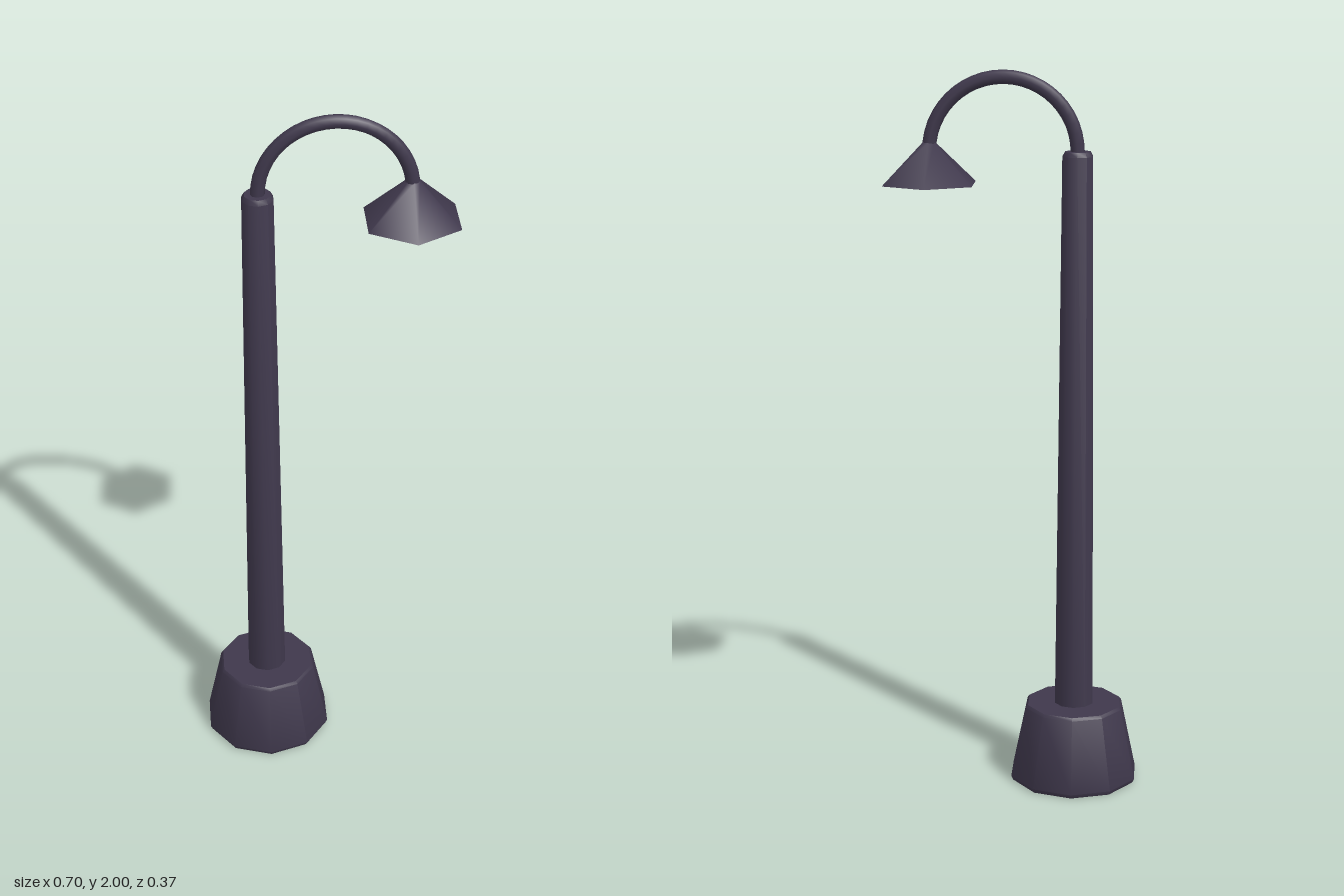
import * as THREE from 'three';
import { toCreasedNormals } from 'three/addons/utils/BufferGeometryUtils.js';

const POLE_X = -0.173;
const LAMP_X = 0.227;

// Ten-sided turned part: smooth around, sharp at the rims
function turned(name, profile, material) {
  const points = profile.map(([r, y]) => new THREE.Vector2(r, y));
  const geometry = toCreasedNormals(new THREE.LatheGeometry(points, 10), 0.7);
  const mesh = new THREE.Mesh(geometry, material);
  mesh.name = name;
  mesh.position.x = POLE_X;
  return mesh;
}

export function createModel() {
  const group = new THREE.Group();
  group.name = 'streetLamp';
  const metal = new THREE.MeshStandardMaterial({ color: 0x3f384c });
  metal.name = 'darkMetal';

  // Tapered foot with slightly bevelled rims
  group.add(turned('base', [
    [0, 0], [0.178, 0], [0.184, 0.012], [0.141, 0.214], [0.135, 0.222], [0, 0.222],
  ], metal));

  // Long tapered pole
  group.add(turned('pole', [
    [0, 0.2], [0.056, 0.2], [0.043, 1.77], [0.036, 1.783], [0, 1.783],
  ], metal));

  // Half-circle arm from the pole top over to the shade
  const radius = (LAMP_X - POLE_X) / 2;
  const path = [];
  for (let i = 0; i <= 16; i++) {
    const a = Math.PI * (1 - i / 16);
    path.push(new THREE.Vector3(
      POLE_X + radius + radius * Math.cos(a), 1.78 + radius * Math.sin(a), 0));
  }
  const arm = new THREE.Mesh(
    new THREE.TubeGeometry(new THREE.CatmullRomCurve3(path), 24, 0.019, 8), metal);
  arm.name = 'arm';
  group.add(arm);

  // Six-sided closed shade
  const shade = new THREE.Mesh(new THREE.CylinderGeometry(0.018, 0.139, 0.112, 6), metal);
  shade.name = 'lampShade';
  shade.position.set(LAMP_X, 1.75, 0);
  group.add(shade);

  return group;
}
